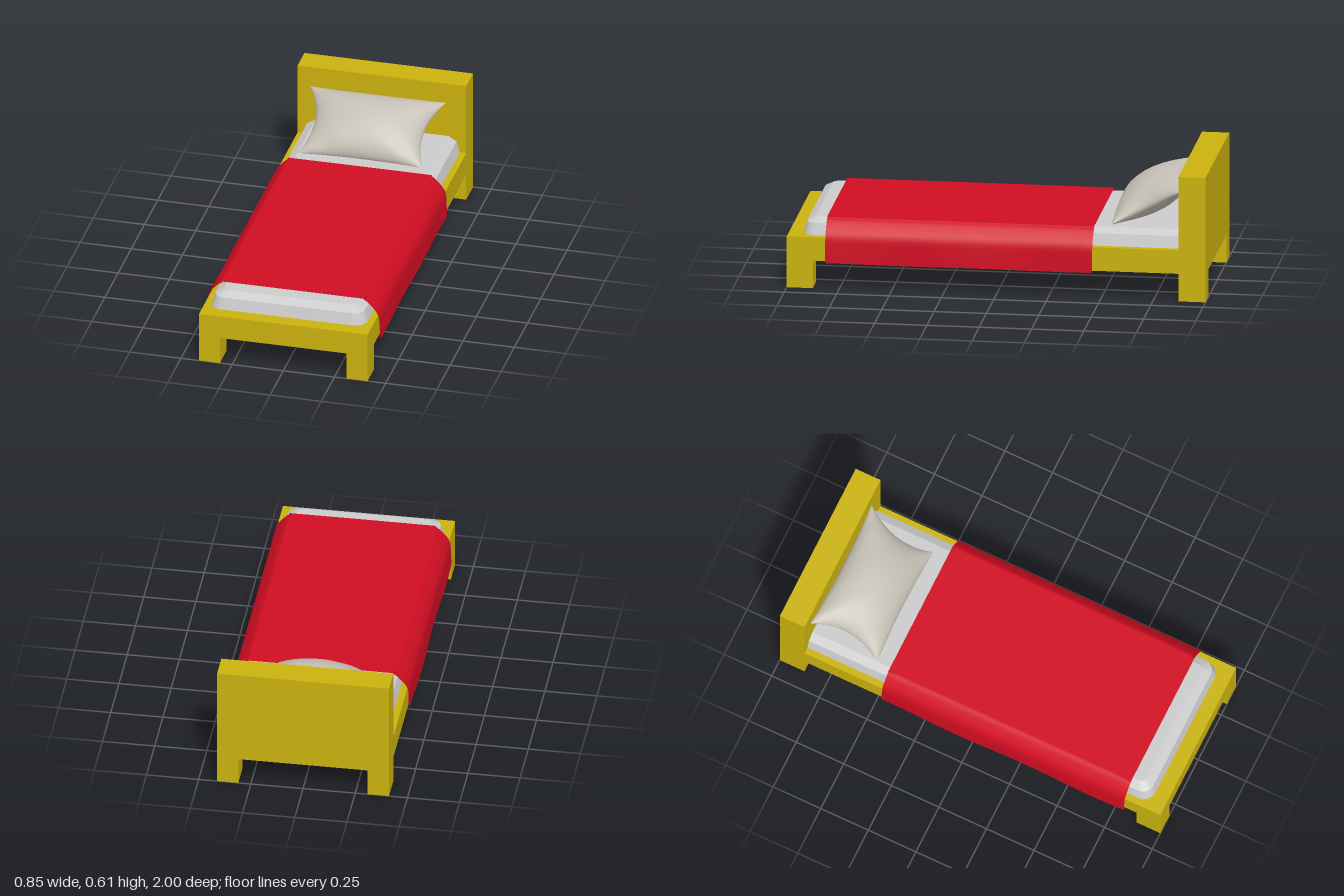
import * as THREE from 'three';
import { mergeVertices } from 'three/addons/utils/BufferGeometryUtils.js';

const paint = (color, extra = {}) => new THREE.MeshStandardMaterial({ color, ...extra });

function box(name, mat, x0, x1, y0, y1, z0, z1) {
  const mesh = new THREE.Mesh(new THREE.BoxGeometry(x1 - x0, y1 - y0, z1 - z0), mat);
  mesh.position.set((x0 + x1) / 2, (y0 + y1) / 2, (z0 + z1) / 2);
  mesh.name = name;
  return mesh;
}

// Frame: slab, headboard and four square legs
function makeFrame() {
  const wood = paint(0xcab20e);
  const frame = new THREE.Group();
  frame.name = 'frame';
  frame.add(box('base', wood, -0.412, 0.412, 0.135, 0.25, -0.87, 1));
  frame.add(box('headboard', wood, -0.412, 0.412, 0.135, 0.61, -1, -0.87));
  for (const [side, x] of [['left', 0.31], ['right', -0.412]]) {
    frame.add(box(side + 'FrontLeg', wood, x, x + 0.102, 0, 0.135, 0.875, 1));
    frame.add(box(side + 'BackLeg', wood, x, x + 0.102, 0, 0.135, -1, -0.87));
  }
  return frame;
}

// Mattress: stacked outlines with rounded foot corners and bevelled upper edges
function makeMattress() {
  const levels = [[0.25, 0], [0.307, 0.015], [0.33, 0.055]];
  const pos = [], index = [], steps = 4, radius = 0.06;
  const n = 2 * (steps + 1) + 2;
  for (const [y, inset] of levels) {
    const hw = 0.38 - inset, foot = 0.93 - inset, r = radius - inset * 0.5;
    pos.push(hw, y, -0.87, -hw, y, -0.87);
    for (const s of [-1, 1]) {
      for (let i = 0; i <= steps; i++) {
        const a = ((s < 0 ? i : steps - i) / steps) * Math.PI / 2;
        pos.push(s * (hw - r + r * Math.cos(a)), y, foot - r + r * Math.sin(a));
      }
    }
  }
  for (let k = 0; k < levels.length - 1; k++) {
    for (let i = 0; i < n; i++) {
      const a = k * n + i, b = k * n + (i + 1) % n;
      index.push(a, a + n, b, b, a + n, b + n);
    }
  }
  const top = (levels.length - 1) * n;
  for (let i = 1; i < n - 1; i++) index.push(top, top + i, top + i + 1);
  const geo = new THREE.BufferGeometry();
  geo.setAttribute('position', new THREE.Float32BufferAttribute(pos, 3));
  geo.setIndex(index);
  geo.computeVertexNormals();
  const mesh = new THREE.Mesh(geo, paint(0xcccccc, { flatShading: true, side: THREE.DoubleSide }));
  mesh.name = 'mattress';
  return mesh;
}

// Blanket: thin sheet draped over the mattress, with slightly wavy hanging sides
function makeBlanket() {
  const half = [[0.424, 0.127], [0.422, 0.19], [0.416, 0.255], [0.385, 0.3], [0.345, 0.333], [0.29, 0.337]];
  const pts = [
    ...half.map(([x, y]) => new THREE.Vector2(-x, y)),
    ...half.slice().reverse().map(([x, y]) => new THREE.Vector2(x, y)),
  ];
  const curve = new THREE.SplineCurve(pts);
  const geo = new THREE.PlaneGeometry(1, 1, 44, 24);
  const p = geo.attributes.position;
  for (let i = 0; i < p.count; i++) {
    const c = curve.getPoint(p.getX(i) + 0.5);
    const z = 0.1775 - p.getY(i) * 1.275;
    const hang = THREE.MathUtils.clamp((0.25 - c.y) / 0.125, 0, 1);
    const wave = Math.sin(z * 9 + Math.sign(c.x)) * 0.003 * hang;
    p.setXYZ(i, c.x + wave, c.y + wave * 0.6, z);
  }
  geo.computeVertexNormals();
  const mesh = new THREE.Mesh(geo, paint(0xd00d22, { side: THREE.DoubleSide }));
  mesh.name = 'blanket';
  return mesh;
}

// Pillow: two puffed sheets joined at a pinched seam, leaning on the headboard
function makePillow() {
  const nu = 36, nv = 26, pos = [], index = [];
  const tilt = 0.487, ct = Math.cos(tilt), st = Math.sin(tilt);
  for (const s of [1, -1]) {
    const start = pos.length / 3;
    for (let j = 0; j <= nv; j++) {
      for (let i = 0; i <= nu; i++) {
        // finer spacing towards the seam
        const u = Math.sin((i / nu - 0.5) * Math.PI), v = Math.sin((j / nv - 0.5) * Math.PI);
        const eu = Math.max(0, 1 - u * u), ev = Math.max(0, 1 - v * v);
        const x = -0.018 + u * (0.319 + 0.014 * v) * (1 - 0.17 * ev);
        const along = 0.192 * v * (1 - 0.07 * eu);
        const crease = 1 - 0.08 * Math.abs(u * v) * Math.sin(9 * u + 7 * v);
        const puff = eu * ev < 1e-9 ? 0 : Math.pow(eu * ev, 0.55) * crease * (s > 0 ? 0.103 : -0.08);
        const y = 0.418 + along * st + puff * ct;
        const z = -0.7 - along * ct + puff * st;
        pos.push(x, Math.max(y, 0.328), Math.max(z, -0.869));
      }
    }
    for (let j = 0; j < nv; j++) {
      for (let i = 0; i < nu; i++) {
        const a = start + j * (nu + 1) + i, b = a + 1, c = a + nu + 1, d = c + 1;
        if (s > 0) index.push(a, b, d, a, d, c);
        else index.push(a, d, b, a, c, d);
      }
    }
  }
  let geo = new THREE.BufferGeometry();
  geo.setAttribute('position', new THREE.Float32BufferAttribute(pos, 3));
  geo.setIndex(index);
  geo = mergeVertices(geo, 1e-5);
  geo.computeVertexNormals();
  const mesh = new THREE.Mesh(geo, paint(0xc6c0b5));
  mesh.name = 'pillow';
  return mesh;
}

export function createModel() {
  const bed = new THREE.Group();
  bed.name = 'bed';
  bed.add(makeFrame(), makeMattress(), makeBlanket(), makePillow());
  return bed;
}
